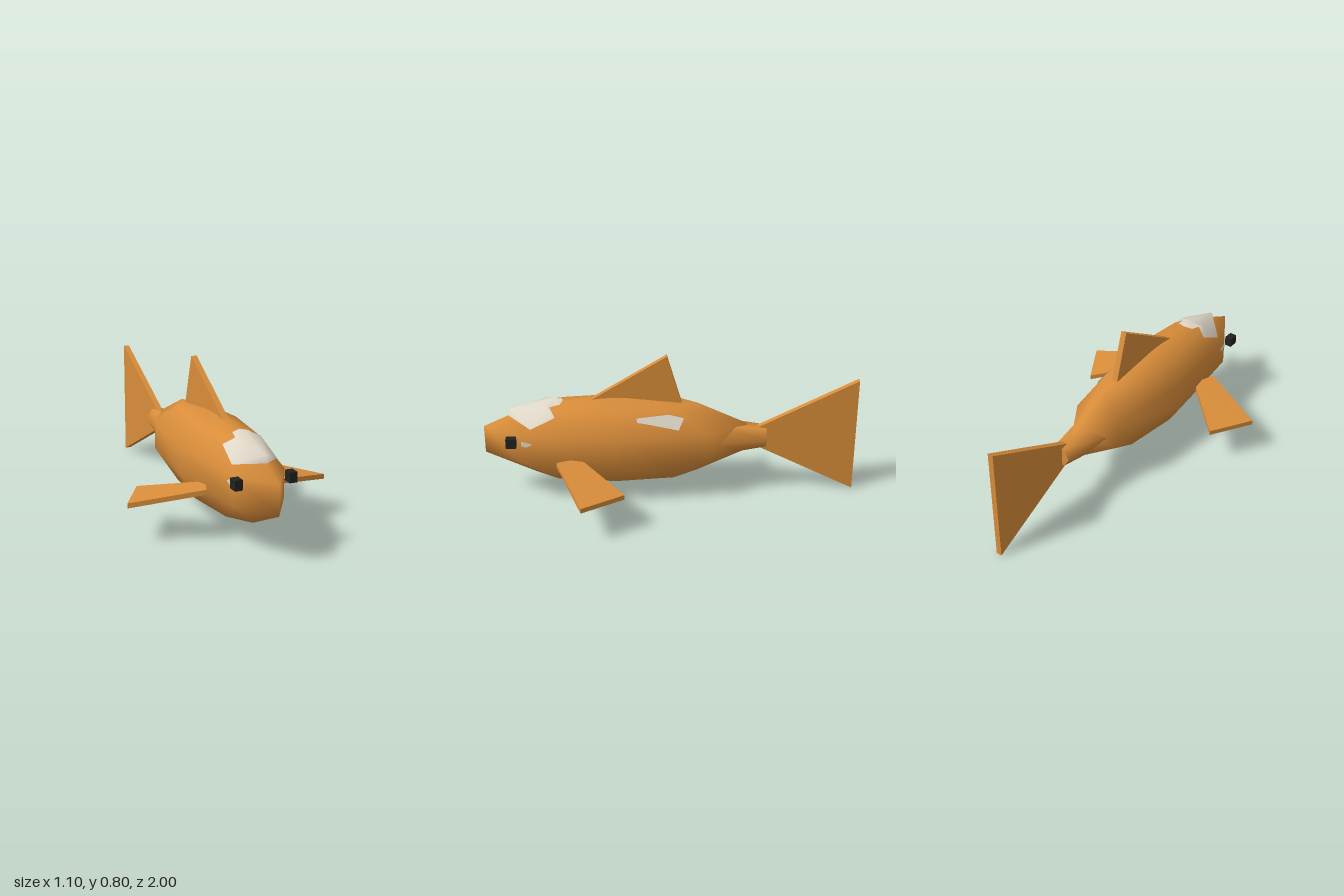
import * as THREE from 'three';
import { mergeVertices } from 'three/addons/utils/BufferGeometryUtils.js';

const material = (name, color, side = THREE.FrontSide) => {
  const m = new THREE.MeshStandardMaterial({ color, side });
  m.name = name;
  return m;
};

// Indexed surface with smooth normals from points and triangles
function surface(points, triangles) {
  const g = new THREE.BufferGeometry();
  g.setAttribute('position', new THREE.Float32BufferAttribute(points.flat(), 3));
  g.setIndex(triangles.flat());
  const merged = mergeVertices(g, 1e-4);
  merged.computeVertexNormals();
  return merged;
}

// Flat upright fin: outline given as [z, y], centred on x = 0
function uprightFin(outline, thickness) {
  const shape = new THREE.Shape(outline.map(([z, y]) => new THREE.Vector2(z, y)));
  const g = new THREE.ExtrudeGeometry(shape, { depth: thickness, bevelEnabled: false });
  g.translate(0, 0, -thickness / 2);
  g.rotateY(-Math.PI / 2);
  return g;
}

// Drooping side fin: a box whose four corners are moved in plan
function sideFin(side) {
  const corners = {
    root: { front: [0.19, 0.275, 0.605], back: [0.145, 0.275, 0.485] },
    tip: { front: [0.55, 0.21, 0.465], back: [0.418, 0.21, 0.245] },
  };
  const g = new THREE.BoxGeometry(1, 1, 1);
  const p = g.attributes.position;
  for (let i = 0; i < p.count; i++) {
    const end = p.getX(i) * side > 0 ? 'tip' : 'root';
    const [x, y, z] = corners[end][p.getZ(i) > 0 ? 'front' : 'back'];
    p.setXYZ(i, side * x, p.getY(i) > 0 ? y : y - 0.026, z);
  }
  g.computeVertexNormals();
  return g;
}

// Thin marking on a flank: outline as [z, y], xAt gives the skin position
function marking(outline, xAt, side) {
  const points = outline.map(([z, y]) => [side * xAt(z, y), y, z]);
  if (side < 0) points.reverse();
  const triangles = [];
  for (let i = 1; i < points.length - 1; i++) triangles.push([0, i, i + 1]);
  return surface(points, triangles);
}

// Pale forehead, one half described and mirrored
function forehead() {
  const half = [
    [0, 0.465, 0.868],      // 0 lower tip
    [0.121, 0.437, 0.74],   // 1 lower side corner
    [0, 0.502, 0.85],       // 2 brow
    [0.07, 0.537, 0.66],    // 3 shoulder
    [0.11, 0.5, 0.61],      // 4 rear side spike
    [0.055, 0.535, 0.64],   // 5 notch
    [0, 0.562, 0.62],       // 6 crown
    [0.045, 0.545, 0.585],  // 7 rear side
    [0, 0.553, 0.57],       // 8 rear middle
  ];
  const tris = [[0, 1, 2], [2, 1, 3], [3, 1, 4], [3, 4, 5], [2, 3, 6], [6, 3, 5], [6, 5, 7], [6, 7, 8]];
  const n = half.length;
  return surface(
    [...half, ...half.map(([x, y, z]) => [-x, y, z])],
    [...tris, ...tris.map(([a, b, c]) => [a + n, c + n, b + n])],
  );
}

export function createModel() {
  const model = new THREE.Group();
  const orange = material('orange', 0xd98d3a);
  const cream = material('cream', 0xe0d8c8, THREE.DoubleSide);
  const black = material('black', 0x222222);

  const add = (name, geometry, mat) => {
    const mesh = new THREE.Mesh(geometry, mat);
    mesh.name = name;
    model.add(mesh);
    return mesh;
  };

  // Body: coarse, smoothly shaded ellipsoid
  const body = new THREE.SphereGeometry(1, 8, 5);
  body.scale(0.2, 0.2525, 0.743);
  body.translate(0, 0.3225, 0.293);
  add('body', body, orange);

  // Tail stem: six-sided taper towards the back
  const stem = new THREE.CylinderGeometry(0.11, 0.06, 0.315, 6);
  stem.rotateY(Math.PI / 2);
  stem.rotateX(Math.PI / 2);
  stem.translate(0, 0.325, -0.3575);
  // Corners point sideways
  add('tailStem', stem, orange);

  // Upright fins
  add('tailFin', uprightFin([[-0.355, 0.325], [-1, 0], [-1, 0.65]], 0.032), orange);
  add('dorsalFin', uprightFin([[0.44, 0.545], [0.02, 0.802], [-0.065, 0.51]], 0.032), orange);

  // Paired parts
  const wall = (z) => 0.194 - 0.112 * (z - 0.29);
  const cheek = [[0.79, 0.377], [0.79, 0.35], [0.765, 0.342], [0.73, 0.36], [0.765, 0.372]];
  for (const side of [1, -1]) {
    const label = side > 0 ? 'left' : 'right';
    add(label + 'SideFin', sideFin(side), orange);
    add(label + 'Eye', new THREE.BoxGeometry(0.04, 0.053, 0.053), black)
      .position.set(side * 0.145, 0.375, 0.842);
    add(label + 'CheekSpot', marking(cheek, wall, side), cream);
  }

  // Pale markings: forehead and a single flank patch
  add('foreheadPatch', forehead(), cream);
  const flank = [[0.18, 0.5], [0.18, 0.48], [0.1, 0.464], [-0.04, 0.433], [-0.068, 0.487], [0.01, 0.508]];
  const flankX = (z, y) => 0.1225 + 0.571 * (0.527 - y) - 0.112 * (0.29 - z);
  add('flankPatch', marking(flank, flankX, 1), cream);

  return model;
}
